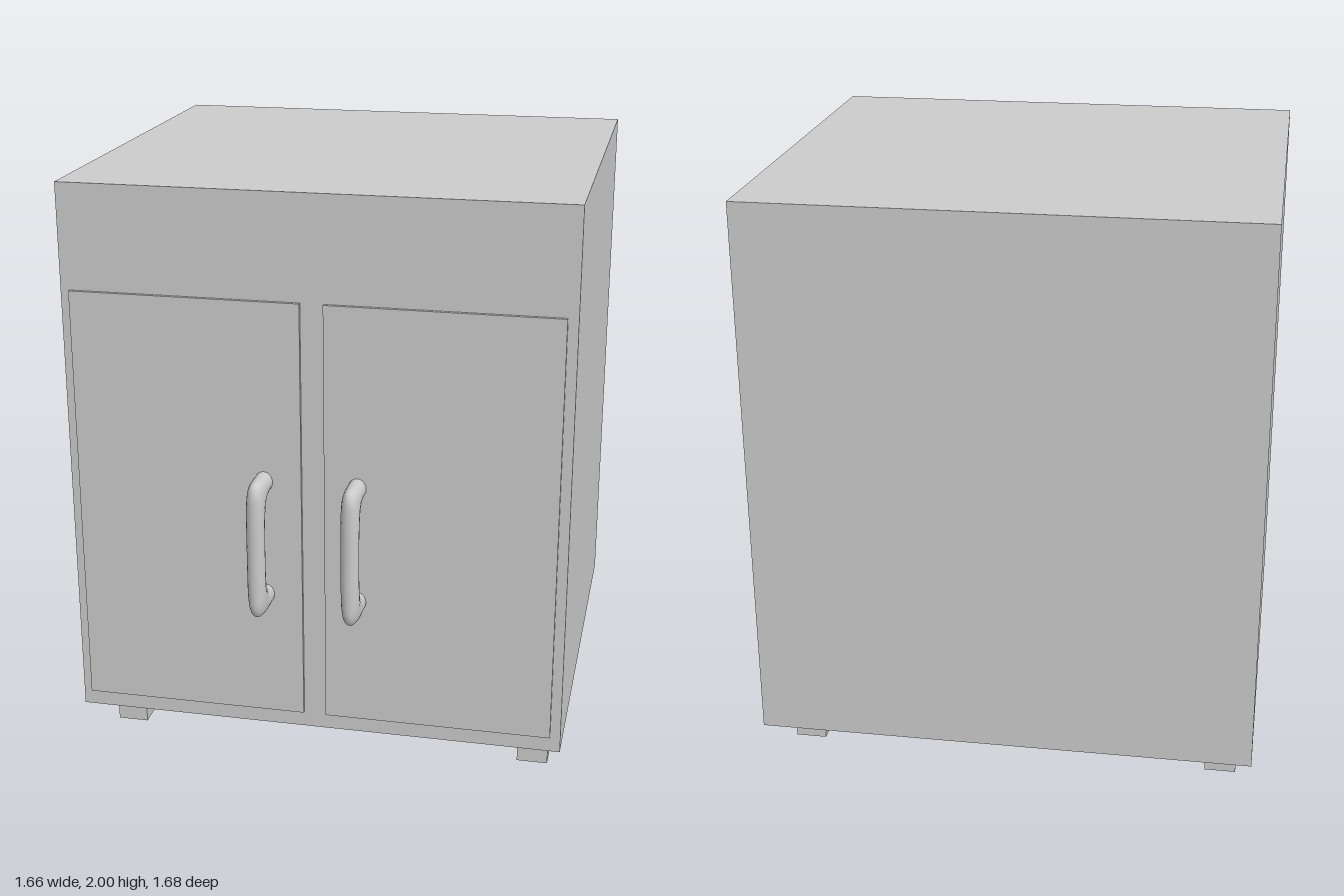
import * as THREE from 'three';

const grey = new THREE.MeshStandardMaterial({ color: 0xcccccc });
const greyOpen = new THREE.MeshStandardMaterial({ color: 0xcccccc, side: THREE.DoubleSide, flatShading: true });

// Box given by its min and max corners
function box(name, [x0, y0, z0], [x1, y1, z1]) {
  const mesh = new THREE.Mesh(new THREE.BoxGeometry(x1 - x0, y1 - y0, z1 - z0), grey);
  mesh.name = name;
  mesh.position.set((x0 + x1) / 2, (y0 + y1) / 2, (z0 + z1) / 2);
  return mesh;
}

// Square leg, open underneath
function leg(name, x, z) {
  const geo = new THREE.CylinderGeometry(Math.SQRT1_2, Math.SQRT1_2, 1, 4, 1, true);
  geo.rotateY(Math.PI / 4).scale(0.105, 0.155, 0.145);
  const mesh = new THREE.Mesh(geo, greyOpen);
  mesh.name = name;
  mesh.position.set(x, 0.0775, z);
  return mesh;
}

// Pull handle: oval sections swept between an outer and an inner side profile
function handleGeometry() {
  const profile = (half) => {
    const pts = half.map(([z, y]) => new THREE.Vector3(0, y, z));
    const mirrored = pts.slice(0, -1).reverse().map((p) => new THREE.Vector3(0, -p.y, p.z));
    return new THREE.CatmullRomCurve3([...pts, ...mirrored], false, 'centripetal');
  };
  const outer = profile([[0.69, 0.235], [0.75, 0.235], [0.8, 0.235], [0.825, 0.228], [0.838, 0.205], [0.842, 0.155], [0.842, 0]]);
  const inner = profile([[0.69, 0.165], [0.715, 0.165], [0.74, 0.155], [0.762, 0.13], [0.775, 0.085], [0.782, 0.055], [0.785, 0]]);
  const rings = 72, sides = 20, pos = [], idx = [];
  for (let i = 0; i <= rings; i++) {
    const o = outer.getPoint(i / rings), n = inner.getPoint(i / rings);
    for (let j = 0; j < sides; j++) {
      const a = (j / sides) * Math.PI * 2;
      const p = n.clone().lerp(o, 0.5 + 0.5 * Math.cos(a));
      pos.push(0.03 * Math.sin(a), p.y, p.z);
      if (i === rings) continue;
      const k = (j + 1) % sides, r = i * sides, s = r + sides;
      idx.push(r + j, s + j, r + k, r + k, s + j, s + k);
    }
  }
  const geo = new THREE.BufferGeometry();
  geo.setAttribute('position', new THREE.Float32BufferAttribute(pos, 3));
  geo.setIndex(idx);
  geo.computeVertexNormals();
  return geo;
}

export function createModel() {
  const model = new THREE.Group();
  model.name = 'cabinet';

  // Body and doors
  model.add(box('body', [-0.83, 0.155, -0.84], [0.83, 2, 0.69]));
  model.add(box('rightDoor', [-0.8, 0.21, 0.67], [-0.04, 1.65, 0.702]));
  model.add(box('leftDoor', [0.036, 0.21, 0.67], [0.796, 1.65, 0.702]));

  // Handles
  const geo = handleGeometry();
  for (const [name, x] of [['rightHandle', -0.165], ['leftHandle', 0.145]]) {
    const handle = new THREE.Mesh(geo, grey);
    handle.name = name;
    handle.position.set(x, 0.845, 0);
    model.add(handle);
  }

  // Legs
  for (const [side, x] of [['Right', -0.7225], ['Left', 0.7225]]) {
    model.add(leg('front' + side + 'Leg', x, 0.437));
    model.add(leg('back' + side + 'Leg', x, -0.577));
  }
  return model;
}
